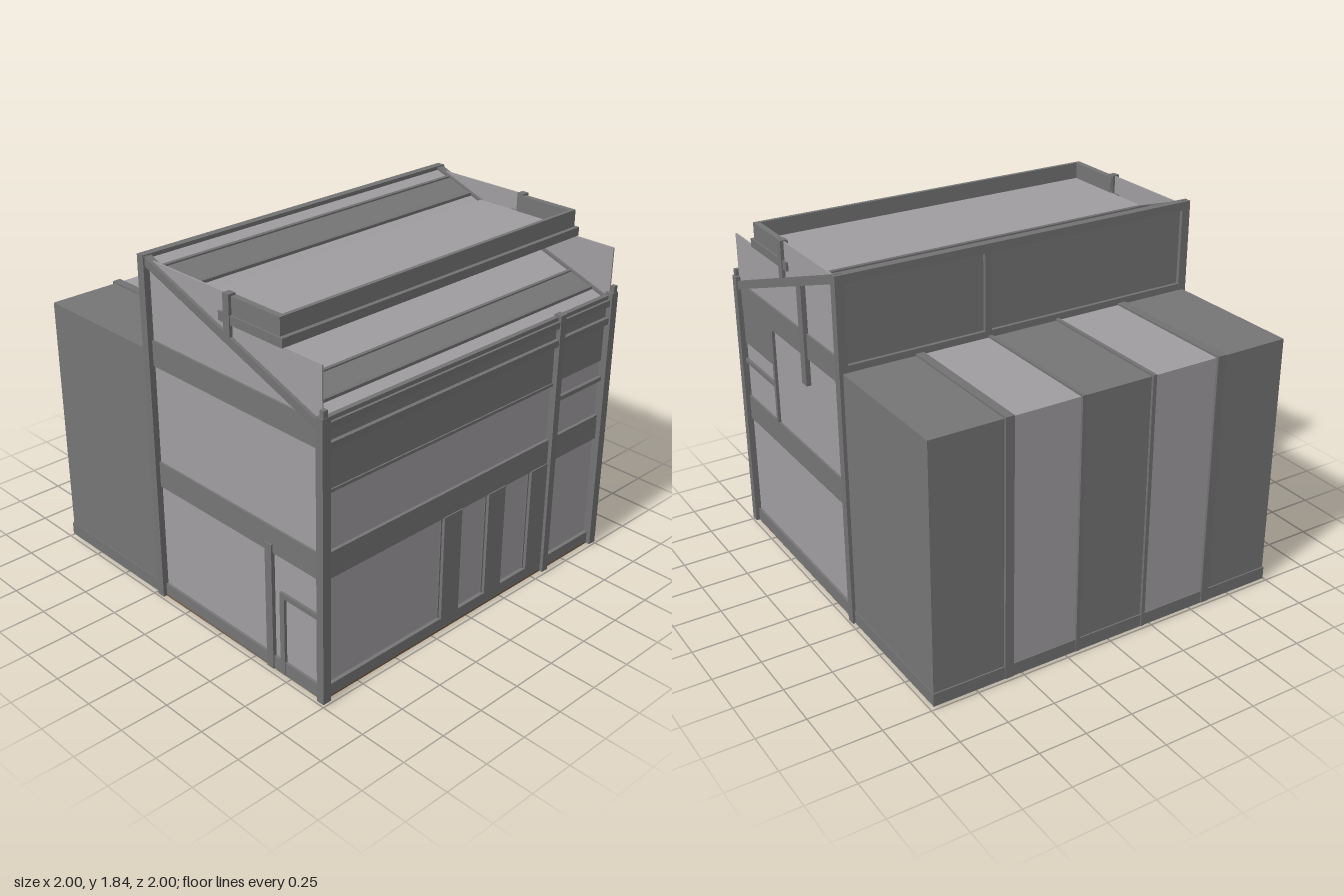
import * as THREE from 'three';

const mat = (name, color) => {
  const m = new THREE.MeshStandardMaterial({ color });
  m.name = name;
  return m;
};

export function createModel() {
  const model = new THREE.Group();
  model.name = 'building';
  const light = mat('pale grey panel', 0xa19ea1);
  const dark = mat('mid grey cladding', 0x767676);
  const frame = mat('grey frame', 0x737373);
  const brown = mat('brown underside', 0x7a593c);

  const add = (name, geo, m) => {
    const mesh = new THREE.Mesh(geo, m);
    mesh.name = name;
    model.add(mesh);
    return mesh;
  };
  // Box given by its limits on each axis
  const box = (name, m, x0, x1, y0, y1, z0, z1) => {
    const g = new THREE.BoxGeometry(x1 - x0, y1 - y0, z1 - z0);
    g.translate((x0 + x1) / 2, (y0 + y1) / 2, (z0 + z1) / 2);
    return add(name, g, m);
  };
  // Side profile of [z, y] points, extruded from x0 to x1
  const profile = (name, m, pts, x0, x1) => {
    const shape = new THREE.Shape(pts.map(([z, y]) => new THREE.Vector2(z, y)));
    const g = new THREE.ExtrudeGeometry(shape, { depth: x1 - x0, bevelEnabled: false });
    g.rotateY(-Math.PI / 2);
    g.translate(x1, 0, 0);
    return add(name, g, m);
  };
  const mirrored = (fn) => [1, -1].forEach((s) => fn((a, b) => (s > 0 ? [a, b] : [-b, -a])));
  const roofY = (z) => 1.435 + (0.95 - z) * 0.354;
  const slopeStrip = (name, m, z0, z1, top, bottom, x0, x1) =>
    profile(name, m, [[z0, roofY(z0) + bottom], [z1, roofY(z1) + bottom],
      [z1, roofY(z1) + top], [z0, roofY(z0) + top]], x0, x1);

  // Underside and its centre channel
  box('underside', brown, -0.978, 0.978, 0.0105, 0.02, -0.985, 0.975);
  box('channel', frame, 0.025, 0.065, 0.007, 0.012, -0.97, 0.6);
  box('channelEnd', frame, 0.025, 0.065, 0, 0.012, 0.595, 0.61);

  // Front hall body under the sloped roof
  profile('hallWalls', light, [[-0.19, 0.02], [0.955, 0.02], [0.955, roofY(0.955) - 0.035], [-0.19, roofY(-0.19) - 0.035]], -0.965, 0.965);

  // Corner posts and mid post
  mirrored((m) => {
    box('frontPost', frame, ...m(0.952, 0.998), 0.012, 1.455, 0.955, 0.998);
    box('frontPostCap', frame, ...m(0.965, 0.99), 1.45, 1.49, 0.973, 0.996);
    box('rearPost', frame, ...m(0.952, 0.998), 0.012, 1.835, -0.22, -0.175);
  });
  box('midPost', frame, 0.56, 0.6, 0.012, 1.45, 0.95, 0.993);

  // Facade bands, bottom to top
  box('frontPlinth', dark, -0.955, 0.955, 0.012, 0.08, 0.95, 0.975);
  box('frontMidBand', dark, -0.955, 0.955, 0.645, 0.78, 0.95, 0.972);
  box('frontSill', frame, -0.955, 0.56, 1.075, 1.09, 0.95, 0.972);
  box('frontUpperBand', dark, -0.955, 0.955, 1.085, 1.3, 0.95, 0.965);
  box('frontUpperRail', frame, -0.955, 0.955, 1.29, 1.325, 0.95, 0.988);
  box('frontFrieze', dark, -0.955, 0.955, 1.325, 1.385, 0.95, 0.968);
  box('frontEaveBeam', frame, -0.955, 0.955, 1.385, 1.42, 0.95, 0.988);
  box('frontEaveCap', frame, -0.955, 0.955, 1.42, 1.44, 0.95, 0.975);
  box('frontWindowBar', frame, 0.6, 0.955, 0.975, 0.997, 0.95, 0.975);

  // Dark ground floor panels with thin surrounds
  [-0.2, 0.115, 0.435].forEach((x) => {
    box('pierSurround', frame, x - 0.008, x + 0.13, 0.075, 0.648, 0.95, 0.962);
    box('pier', dark, x, x + 0.122, 0.078, 0.648, 0.955, 0.978);
  });

  // Side wall bands and gable rails
  mirrored((m) => {
    box('sidePlinth', dark, ...m(0.955, 0.978), 0.012, 0.083, -0.18, 0.955);
    box('sideMidBand', dark, ...m(0.955, 0.975), 0.645, 0.78, -0.18, 0.955);
    profile('sideUpperBand', dark, [[-0.18, 1.29], [0.955, 1.29], [0.955, 1.39], [0.88, 1.42], [-0.18, 1.42]], ...m(0.955, 0.975));
    slopeStrip('gableRail', frame, -0.2, 0.97, 0, -0.045, ...m(0.95, 0.99));
    // Raised gable screen with a stepped top
    const screen = [[0.97, 1.4], [0.97, 1.685], [0.38, 1.685], [0.38, 1.82], [-0.2, 1.82]];
    profile('gableScreen', light, screen, ...m(0.965, 0.973));
  });

  // Right-hand window corner and brace
  box('cornerPanel', dark, 0.955, 0.972, 1.09, 1.29, 0.59, 0.955);
  box('cornerBar', frame, 0.955, 0.98, 0.975, 0.997, 0.59, 0.955);
  box('cornerJamb', frame, 0.955, 0.98, 0.78, 1.29, 0.575, 0.595);
  box('brace', frame, 0.955, 0.99, 1.15, 1.67, 0.17, 0.22);

  // Door surround on the opposite side
  box('doorPost', frame, -0.985, -0.955, 0.012, 0.69, 0.6, 0.645);
  box('doorJamb', frame, -0.98, -0.955, 0.012, 0.46, 0.69, 0.72);
  box('doorHead', frame, -0.98, -0.955, 0.435, 0.46, 0.69, 0.955);

  // Pale sloped roof with two dark bands
  slopeStrip('roofSlope', light, -0.18, 0.96, -0.015, -0.048, -0.955, 0.955);
  [[-0.1, 0.055], [0.735, 0.87]].forEach(([z0, z1]) => {
    slopeStrip('roofBand', dark, z0, z1, -0.008, -0.03, -0.955, 0.955);
    [z0, z1].forEach((z) => slopeStrip('roofBar', frame, z - 0.006, z + 0.006, 0, -0.04, -0.955, 0.955));
  });
  box('ridgeBeam', frame, -0.998, 0.998, 1.795, 1.84, -0.22, -0.18);

  // Flat raised deck with an upstand, meeting the slope at the back
  box('deck', light, -0.95, 0.95, 1.69, 1.729, 0.13, 0.71);
  box('deckFrontBoard', dark, -0.955, 0.955, 1.727, 1.815, 0.7, 0.72);
  box('deckFrontBar', frame, -0.97, 0.97, 1.684, 1.728, 0.7, 0.742);
  mirrored((m) => {
    box('deckSideBoard', dark, ...m(0.945, 0.975), 1.727, 1.815, 0.38, 0.72);
    box('deckSideBar', frame, ...m(0.945, 0.985), 1.684, 1.728, 0.33, 0.742);
    box('deckPost', frame, ...m(0.95, 0.99), 1.6, 1.825, 0.37, 0.41);
  });

  // Rear wall above the lower block
  box('rearUpperPanel', dark, -0.955, 0.955, 1.36, 1.8, -0.2, -0.185);
  box('rearLowerRail', frame, -0.955, 0.955, 1.365, 1.4, -0.218, -0.19);
  box('rearMidPost', frame, 0.185, 0.22, 1.37, 1.8, -0.218, -0.19);

  // Rear block made of alternating dark and pale bays
  [[-0.98, -0.59], [-0.59, -0.195], [-0.195, 0.195], [0.195, 0.58], [0.58, 0.98]].forEach(([a, b], i) =>
    box('rearBay', i % 2 ? light : dark, a, b, 0.015, 1.365, -0.985, -0.19));
  [[-0.588, 0.045], [-0.196, 0.02], [0.193, 0.02], [0.58, 0.045]].forEach(([x, w]) =>
    box('rearBatten', frame, x - w / 2, x + w / 2, 0.015, 1.375, -0.998, -0.2));
  box('rearPlinth', frame, -0.984, 0.984, 0.012, 0.08, -0.992, -0.2);

  return model;
}
